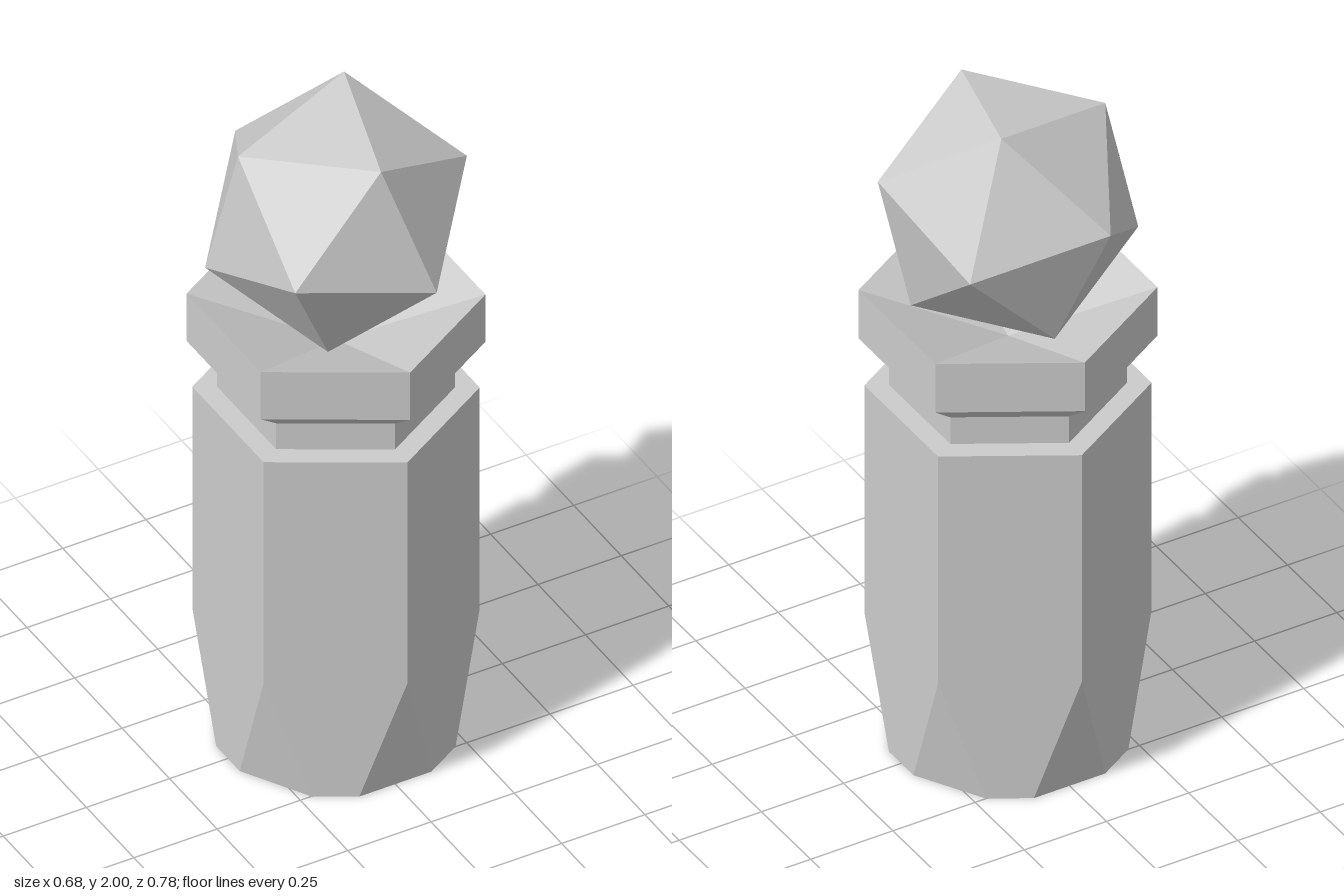
import * as THREE from 'three';
import { ConvexGeometry } from 'three/addons/geometries/ConvexGeometry.js';

const V = (x, y, z) => new THREE.Vector3(x, y, z);

// corners of a hexagon at height y, with one corner on +z
const hexagon = (r, y) => Array.from({ length: 6 }, (_, i) =>
  V(r * Math.sin(i * Math.PI / 3), y, r * Math.cos(i * Math.PI / 3)));

export function createModel() {
  const group = new THREE.Group();
  const material = new THREE.MeshStandardMaterial({ color: 0xcccccc, flatShading: true });
  const add = (name, geometry) => {
    const mesh = new THREE.Mesh(geometry, material);
    mesh.name = name;
    group.add(mesh);
    return mesh;
  };

  // hexagonal shaft whose corners are cut off towards a twelve-sided foot
  const radius = 0.375;
  const foot = hexagon(radius, 0).flatMap((p, i, ring) => {
    const next = ring[(i + 1) % 6];
    return [p.clone().lerp(next, 1 / 3), p.clone().lerp(next, 2 / 3)];
  });
  add('shaft', new ConvexGeometry([...foot, ...hexagon(radius, 0.37), ...hexagon(radius, 1.095)]));

  // neck, flared collar and shallow dish under the ball
  const profile = [[0.31, 1.095], [0.31, 1.18], [0.39, 1.245], [0.39, 1.4], [0, 1.25]];
  add('collar', new THREE.LatheGeometry(profile.map(([r, y]) => new THREE.Vector2(r, y)), 6));

  // twenty-sided ball: a pole, a ring of five and their opposites, tilted forwards
  const R = 0.372;
  const half = [V(0, R, 0)];
  for (let i = 0; i < 5; i++) {
    const a = i * Math.PI * 2 / 5;
    half.push(V(2 * Math.cos(a), 1, 2 * Math.sin(a)).multiplyScalar(R / Math.sqrt(5)));
  }
  const ball = add('ball', new ConvexGeometry([...half, ...half.map(p => p.clone().negate())]));
  ball.rotation.x = THREE.MathUtils.degToRad(39.6);
  ball.position.y = 1.67;

  return group;
}
